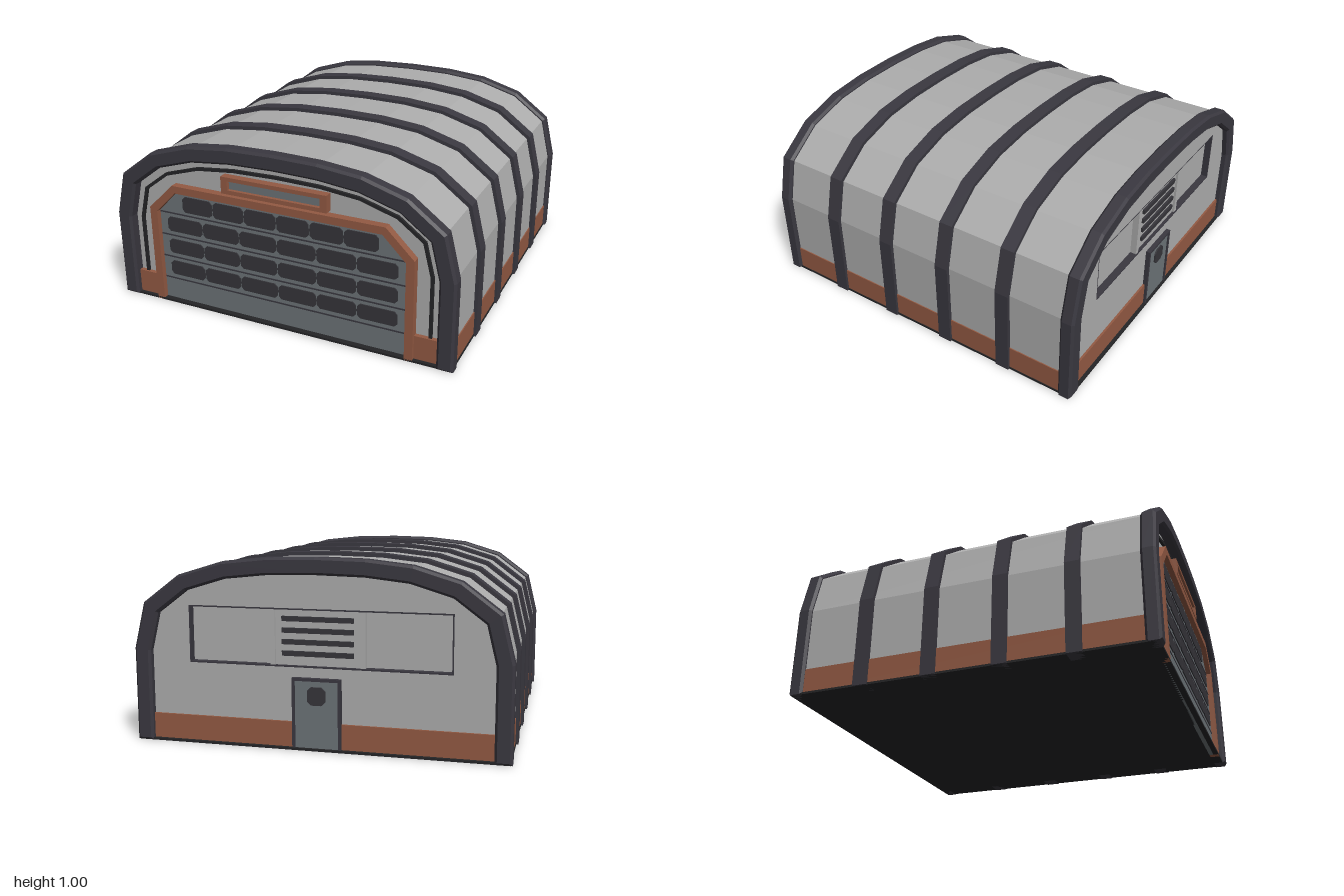
import * as THREE from 'three';

const mat = (name, color) => {
  const m = new THREE.MeshStandardMaterial({ color });
  m.name = name;
  return m;
};

// Right half of the arch, from the ground to the crown
const HALF = [[1, 0], [1, 0.5], [0.94, 0.745], [0.74, 0.895], [0.5, 0.968], [0.26, 0.994], [0, 1]];
const ARCH = [...HALF, ...HALF.slice(0, -1).reverse().map(([x, y]) => [-x, y])];

// Arch outline moved inwards by d, with its feet at height y0
function arch(d, y0 = 0) {
  const normal = (a, b) => {
    const dx = b[0] - a[0], dy = b[1] - a[1], l = Math.hypot(dx, dy);
    return [-dy / l, dx / l];
  };
  return ARCH.map((p, i) => {
    if (i === 0 || i === ARCH.length - 1) return new THREE.Vector2(p[0] - Math.sign(p[0]) * d, y0);
    const a = normal(ARCH[i - 1], p), b = normal(p, ARCH[i + 1]);
    const k = d / (1 + a[0] * b[0] + a[1] * b[1]);
    return new THREE.Vector2(p[0] + (a[0] + b[0]) * k, p[1] + (a[1] + b[1]) * k);
  });
}
const band = (d0, d1, y0 = 0) => new THREE.Shape([...arch(d0, y0), ...arch(d1, y0).reverse()]);
const poly = (pts) => new THREE.Shape(pts.map(([x, y]) => new THREE.Vector2(x, y)));
const rect = (x0, y0, x1, y1) => poly([[x0, y0], [x1, y0], [x1, y1], [x0, y1]]);
const chamfered = (x0, y0, x1, y1, c) => poly([
  [x0 + c, y0], [x1 - c, y0], [x1, y0 + c], [x1, y1 - c],
  [x1 - c, y1], [x0 + c, y1], [x0, y1 - c], [x0, y0 + c]]);

export function createModel() {
  const root = new THREE.Group();
  root.name = 'hangar';
  const grey = mat('wall grey', 0xadadad);
  const ribDark = mat('rib charcoal', 0x3a3840);
  const rust = mat('rust brown', 0x935a43);
  const steel = mat('door steel', 0x6c7377);
  const glass = mat('dark glass', 0x36353a);
  const black = mat('trim black', 0x252527);

  const add = (name, geo, m, parent = root) => {
    const mesh = new THREE.Mesh(geo, m);
    mesh.name = name;
    parent.add(mesh);
    return mesh;
  };
  // Extrude a shape between two z positions, with an optional chamfer
  const slab = (name, shape, z0, z1, m, bevel = 0, parent = root) => {
    const geo = new THREE.ExtrudeGeometry(shape, {
      depth: z1 - z0 - 2 * bevel, bevelEnabled: bevel > 0, bevelThickness: bevel,
      bevelSize: bevel, bevelOffset: -bevel, bevelSegments: 1,
    });
    geo.translate(0, 0, z0 + bevel);
    return add(name, geo, m, parent);
  };
  const box = (name, x0, x1, y0, y1, z0, z1, m, parent = root) => {
    const geo = new THREE.BoxGeometry(x1 - x0, y1 - y0, z1 - z0);
    geo.translate((x0 + x1) / 2, (y0 + y1) / 2, (z0 + z1) / 2);
    return add(name, geo, m, parent);
  };
  const group = (name) => {
    const g = new THREE.Group();
    g.name = name;
    root.add(g);
    return g;
  };

  // Vaulted body and ground plate
  slab('vault', new THREE.Shape(arch(0.02, 0.004)), -0.92, 0.94, grey);
  box('floor', -0.99, 0.99, 0, 0.012, -0.99, 0.985, black);

  // Six arched ribs, the end ones chamfered
  const ribs = group('ribs');
  for (let i = 0; i < 6; i++) {
    const z = -0.96 + i * 0.384, end = i === 0 || i === 5;
    slab('rib', band(0, 0.09), z - 0.04, z + 0.04, ribDark, end ? 0.013 : 0, ribs);
  }

  // Skirting along the sides, front and back
  const skirt = group('skirting');
  for (const s of [-1, 1]) {
    const side = (a, b) => [Math.min(s * a, s * b), Math.max(s * a, s * b)];
    box('sideSkirt', ...side(0.9, 0.986), 0.002, 0.145, -0.95, 0.95, rust, skirt);
    box('frontSkirt', ...side(0.75, 0.93), 0.002, 0.145, 0.92, 0.965, rust, skirt);
  }
  box('backSkirt', -0.93, 0.93, 0.002, 0.145, -0.972, -0.93, rust, skirt);

  // Front trim arch and gate
  slab('frontTrimArch', band(0.13, 0.147, 0.145), 0.935, 0.955, black);
  const gate = group('gate');
  const outer = [[0.78, 0], [0.78, 0.57], [0.625, 0.722]];
  const inner = [[0.735, 0], [0.735, 0.552], [0.608, 0.68]];
  const both = (h) => [...h, ...h.slice().reverse().map(([x, y]) => [-x, y])];
  slab('gateFrame', poly([...both(outer), ...both(inner).reverse()]), 0.93, 0.985, rust, 0, gate);
  slab('gateLeaf', poly(both(inner)), 0.93, 0.955, steel, 0, gate);
  for (const y of [0.14, 0.275, 0.41, 0.545]) {
    box('gateSeam', -0.734, 0.734, y - 0.004, y + 0.004, 0.95, 0.958, ribDark, gate);
  }
  // Window rows: bottom, top, half length
  for (const [y0, y1, w] of [[0.168, 0.252, 0.69], [0.302, 0.387, 0.69], [0.436, 0.522, 0.69], [0.565, 0.657, 0.583]]) {
    const step = w / 3, mid = (y0 + y1) / 2;
    box('windowLink', -w + 0.05, w - 0.05, mid - 0.006, mid + 0.006, 0.95, 0.959, glass, gate);
    for (let i = 0; i < 6; i++) {
      const x = -w + i * step;
      slab('gateWindow', chamfered(x + 0.004, y0, x + step - 0.004, y1, 0.016), 0.953, 0.961, glass, 0, gate);
    }
  }

  // Panel above the gate
  const frame = rect(-0.308, 0.735, 0.308, 0.83);
  frame.holes.push(rect(-0.27, 0.758, 0.27, 0.808));
  slab('signFrame', frame, 0.93, 0.985, rust);
  box('signPanel', -0.272, 0.272, 0.756, 0.81, 0.93, 0.965, steel);

  // Back wall with a long recess
  const [px, py0, py1] = [0.7, 0.43, 0.735];
  const wall = new THREE.Shape(arch(0.08, 0.004));
  wall.holes.push(rect(-px, py0, px, py1));
  slab('backWall', wall, -0.96, -0.92, grey);
  const lining = rect(-px, py0, px, py1);
  lining.holes.push(rect(-px + 0.008, py0 + 0.008, px - 0.008, py1 - 0.008));
  slab('recessLining', lining, -0.959, -0.92, ribDark);

  // Louvre in the middle of the recess
  const vent = group('vent');
  box('ventPanel', -0.24, 0.24, py0 + 0.008, py1 - 0.008, -0.943, -0.92, grey, vent);
  for (const x of [-0.24, 0.24]) {
    box('ventPost', x - 0.013, x + 0.013, py0 + 0.008, py1 - 0.008, -0.955, -0.92, grey, vent);
  }
  for (let i = 0; i < 4; i++) {
    const y = 0.5 + i * 0.06;
    box('ventSlat', -0.19, 0.19, y - 0.013, y + 0.013, -0.956, -0.94, glass, vent);
  }

  // Back service door
  const door = group('serviceDoor');
  slab('doorFrame', poly([[-0.13, 0.012], [-0.115, 0.012], [-0.115, 0.365], [0.115, 0.365],
    [0.115, 0.012], [0.13, 0.012], [0.13, 0.38], [-0.13, 0.38]]), -0.985, -0.95, ribDark, 0, door);
  box('doorLeaf', -0.116, 0.116, 0.012, 0.366, -0.977, -0.95, steel, door);
  slab('doorWindow', chamfered(-0.048, 0.24, 0.048, 0.335, 0.02), -0.985, -0.976, glass, 0, door);
  return root;
}
